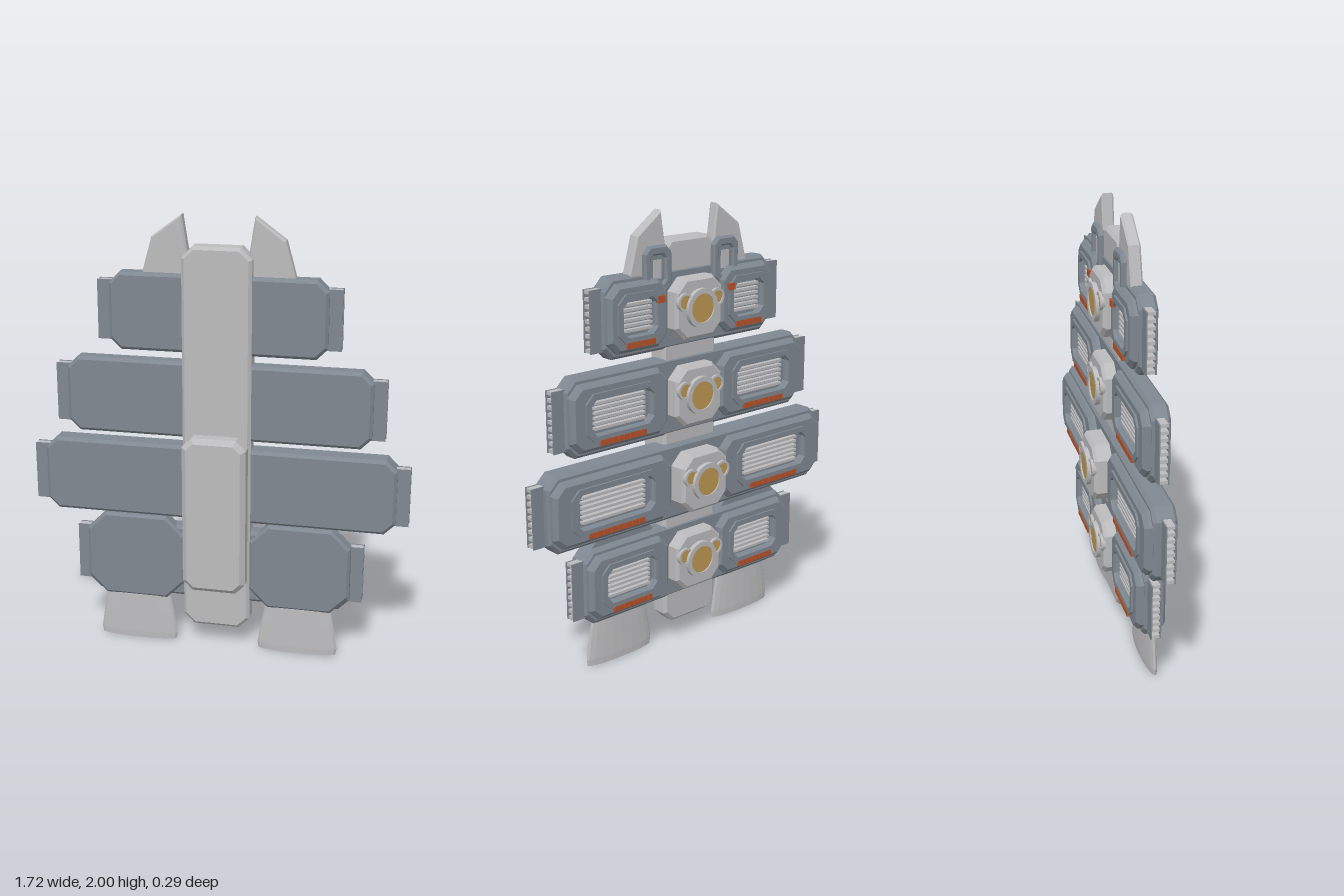
import * as THREE from 'three';

const mat = (name, color, extra = {}) => {
  const m = new THREE.MeshStandardMaterial({ color, ...extra });
  m.name = name;
  return m;
};

// Octagon outline: a rectangle with cut corners
function octagon(w, h, c, PathType = THREE.Shape) {
  const x = w / 2, y = h / 2;
  const p = [[x - c, -y], [x, -y + c], [x, y - c], [x - c, y], [-x + c, y], [-x, y - c], [-x, -y + c], [-x + c, -y]];
  return new PathType(p.map(([a, b]) => new THREE.Vector2(a, b)));
}

// Extrudes a shape between two z values, with chamfered rims inside the outline
function slab(shape, z0, z1, bevel = 0) {
  const g = new THREE.ExtrudeGeometry(shape, {
    depth: z1 - z0 - 2 * bevel, bevelEnabled: bevel > 0, bevelThickness: bevel,
    bevelSize: bevel, bevelOffset: -bevel, bevelSegments: 1, curveSegments: 20,
  });
  g.translate(0, 0, z0 + bevel);
  return g;
}

export function createModel() {
  const model = new THREE.Group();
  model.name = 'armourPack';
  const light = mat('lightGrey', 0xbcbcbe);
  const panel = mat('blueGrey', 0x7f8891);
  const gold = mat('gold', 0xbd9750);
  const orange = mat('orange', 0xb5532b);
  const shell = mat('nozzleGrey', 0xbcbcbe, { flatShading: true, side: THREE.DoubleSide });

  const add = (parent, name, geometry, material, x = 0, y = 0, z = 0) => {
    const m = new THREE.Mesh(geometry, material);
    m.name = name;
    m.position.set(x, y, z);
    parent.add(m);
    return m;
  };
  const box = (w, h, d) => new THREE.BoxGeometry(w, h, d);

  // Spine and raised front cover
  add(model, 'spine', slab(octagon(0.31, 1.775, 0.05), -0.02, 0.072, 0.014), light, 0, 0.985);
  add(model, 'frontCover', slab(octagon(0.29, 0.735, 0.045), 0.05, 0.143, 0.022), light, 0, 0.665);

  // Round gold lens inside a raised ring, facing the back
  function lens(parent, name, r, x, y, zBase, zTop) {
    const ring = new THREE.Shape().absarc(0, 0, r, 0, Math.PI * 2);
    ring.holes.push(new THREE.Path().absarc(0, 0, r * 0.74, 0, Math.PI * 2, true));
    add(parent, name + 'Ring', slab(ring, zTop, zBase), light, x, y);
    const disc = new THREE.CylinderGeometry(r * 0.75, r * 0.75, 0.02, 24).rotateX(Math.PI / 2);
    add(parent, name, disc, gold, x, y, zTop + 0.016);
  }

  // Rows of armour: centre height, half width, back of slab, back of hub
  const rows = [
    { y: 1.573, w: 0.485, back: -0.025, hub: -0.085 },
    { y: 1.183, w: 0.688, back: -0.025, hub: -0.085 },
    { y: 0.793, w: 0.805, back: -0.046, hub: -0.127 },
    { y: 0.405, w: 0.612, back: -0.025, hub: -0.085 },
  ];
  rows.forEach(({ y, w, back, hub }, i) => {
    const row = new THREE.Group();
    row.name = 'armourRow' + (i + 1);
    row.position.y = y;
    model.add(row);
    add(row, 'rowSlab', slab(octagon(w * 2, 0.347, 0.05), back, 0.057, 0.014), panel);

    // Central hub with one large and two small lenses
    add(row, 'hub', slab(octagon(0.27, 0.27, 0.055), hub, 0, 0.014), light);
    lens(row, 'mainLens', 0.086, 0, 0, hub + 0.01, hub - 0.021);
    for (const s of [1, -1]) lens(row, 'sideLens', 0.04, s * 0.092, 0.035, hub + 0.01, hub - 0.012);

    const padW = w - 0.162, padX = 0.152 + padW / 2;
    const winW = padW * 0.74, openW = winW - 0.05;
    for (const s of [1, -1]) {
      // Back pad with a framed opening
      const pad = octagon(padW, 0.295, 0.05);
      pad.holes.push(octagon(openW, 0.16, 0.03, THREE.Path));
      add(row, 'backPad', slab(pad, back - 0.032, back + 0.02, 0.018), panel, s * padX);
      const frame = octagon(winW, 0.21, 0.04);
      frame.holes.push(octagon(openW, 0.16, 0.03, THREE.Path));
      add(row, 'windowFrame', slab(frame, back - 0.041, back - 0.028), panel, s * padX);

      // Grille slats in the opening
      for (let k = 0; k < 6; k++) {
        add(row, 'grilleSlat', box(openW * 0.8, 0.012, 0.022), light, s * padX, (k - 2.5) * 0.022, back - 0.01);
      }
      // Ribbed orange strip under the opening
      const n = 8, pitch = padW * 0.48 / n;
      for (let k = 0; k < n; k++) {
        add(row, 'orangeRib', box(pitch * 0.85, 0.026, 0.014), orange,
          s * padX + (k - (n - 1) / 2) * pitch, -0.112, back - 0.037);
      }

      // End radiator: two plates with fins between them
      const endX = s * (w + 0.018);
      for (const z of [0.031, -0.009]) add(row, 'radiatorPlate', box(0.076, 0.267, 0.006), panel, endX, 0, z);
      for (let k = 0; k < 9; k++) {
        add(row, 'radiatorFin', box(0.07, 0.015, 0.036), light, endX, (k - 4) * 0.031, 0.011);
      }
    }
  });

  for (const s of [1, -1]) {
    // Pointed top fin
    const fin = new THREE.Shape([[0.13, 1.6], [0.335, 1.72], [0.337, 1.745], [0.293, 1.903], [0.16, 2], [0.135, 1.84]]
      .map(([x, y]) => new THREE.Vector2(s * x, y)));
    add(model, 'topFin', slab(fin, -0.02, 0.033, 0.008), light);

    // Small framed box behind the fin
    const pod = octagon(0.15, 0.2, 0.03);
    pod.holes.push(octagon(0.08, 0.12, 0.015, THREE.Path));
    add(model, 'upperBox', slab(pod, -0.042, -0.01, 0.008), panel, s * 0.195, 1.755);
    add(model, 'upperBoxInset', box(0.09, 0.13, 0.012), panel, s * 0.195, 1.755, -0.022);
    add(model, 'upperBoxPlate', box(0.045, 0.08, 0.012), light, s * 0.195, 1.755, -0.026);
    add(model, 'signalLamp', box(0.035, 0.03, 0.018), orange, s * 0.205, 1.635, -0.063);

    // Front thruster housing and oval nozzle
    add(model, 'thrusterHousing', slab(octagon(0.46, 0.405, 0.085), 0, 0.07, 0.012), panel, s * 0.382, 0.418);
    const profile = [[0, 0.09], [0.13, 0.09], [0.165, 0], [0.18, 0], [0.185, 0.03], [0.168, 0.14], [0.152, 0.218], [0, 0.218]]
      .map(([r, y]) => new THREE.Vector2(r, y));
    const nozzle = add(model, 'nozzle', new THREE.LatheGeometry(profile, 20), shell, s * 0.377, 0, 0.043);
    nozzle.scale.z = 0.155;
  }
  return model;
}
